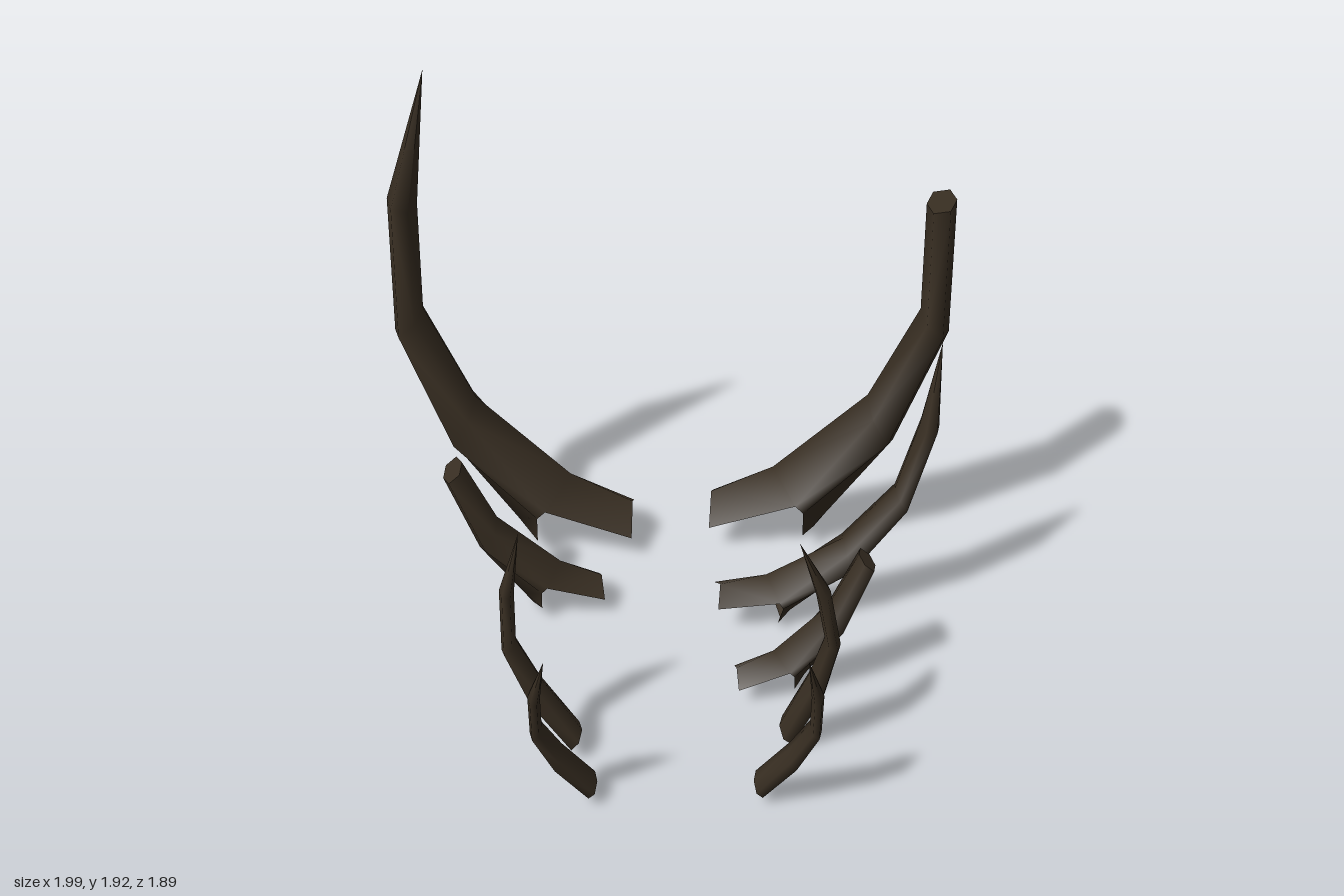
import * as THREE from 'three';

// Cross-sections from bottom to top: outer ridge, inner ridge, half depth,
// and where the side edges sit between the two ridges.
const notch = { o: [0.58, 0.09], i: [0.38, 0.29], d: 0.128, f: [0.45, 0.6] };
const foot = { o: [0.54, 0.03], i: [0.44, 0.15], d: 0.12 };
const lower = { o: [0.82, 0.43], i: [0.72, 0.62], d: 0.11 };
const middle = { o: [1.0, 0.9], i: [0.895, 0.99], d: 0.093 };
const upper = { o: [1.0, 1.43], i: [0.895, 1.41], d: 0.084 };
const tip = { o: [0.85, 1.92], i: [0.85, 1.92], d: 0 };

// Six corners around a section
function ring({ o, i, d, f = [0.22, 0.78] }) {
  const at = (t, z) => [i[0] + (o[0] - i[0]) * t, i[1] + (o[1] - i[1]) * t, z];
  return [at(1, 0), at(f[1], d), at(f[0], d), at(0, 0), at(f[0], -d), at(f[1], -d)];
}

// Split root: a long inner flap and a short outer flap
const splitRoot = [
  [0.54, 0.03, 0], [0.5, 0.07, 0.125], [0.15, 0.09, 0.13],
  [0.15, 0.17, 0], [0.15, 0.09, -0.13], [0.5, 0.07, -0.125],
];

function ribGeometry(side, sections, split, origin) {
  const rows = sections.map(ring);
  if (split) rows.unshift(splitRoot);
  const pos = [];
  const index = [];
  const add = ([x, y, z]) => pos.push((x - origin[0]) * side, y - origin[1], z);
  const tri = (a, b, c) => (side > 0 ? index.push(a, b, c) : index.push(a, c, b));

  rows.forEach((row) => row.forEach(add));
  for (let r = 0; r < rows.length - 1; r++) {
    for (let j = 0; j < 6; j++) {
      if (split && r === 0 && j % 3 === 1) continue; // open sides between the flaps
      const a = r * 6 + j, b = r * 6 + (j + 1) % 6;
      tri(a, a + 6, b);
      tri(b, a + 6, b + 6);
    }
  }

  // Flat end caps
  const cap = (row, up) => {
    const s = pos.length / 3;
    row.forEach(add);
    for (let j = 1; j < 5; j++) up ? tri(s, s + j + 1, s + j) : tri(s, s + j, s + j + 1);
  };
  if (!split) cap(rows[0], false);
  if (sections[sections.length - 1].d > 0) cap(rows[rows.length - 1], true);

  const g = new THREE.BufferGeometry();
  g.setAttribute('position', new THREE.Float32BufferAttribute(pos, 3));
  g.setIndex(index);
  g.computeVertexNormals();
  return g;
}

export function createModel() {
  const model = new THREE.Group();
  model.name = 'ribCage';
  const bone = new THREE.MeshStandardMaterial({ color: 0x382e22, side: THREE.DoubleSide });
  bone.name = 'darkBone';

  const root = [0.15, 0.13];
  const point = [0.85, 1.92];
  const whole = [notch, lower, middle, upper, tip];
  const brokenHigh = [notch, lower, middle, upper];
  const brokenLow = [notch, lower, middle];
  const small = [foot, lower, middle, upper, tip];

  const rib = (name, side, sections, position, scale, rotation) => {
    const split = sections !== small;
    const mesh = new THREE.Mesh(ribGeometry(side, sections, split, split ? root : point), bone);
    mesh.name = name;
    mesh.position.set(...position);
    mesh.scale.setScalar(scale);
    mesh.rotation.set(...rotation);
    model.add(mesh);
  };

  // Large ribs, placed by their roots
  rib('rightRearRib', -1, whole, [-0.15, 0.13, -0.76], 1, [0, -0.03, 0]);
  rib('leftRearBrokenRib', 1, brokenHigh, [0.145, 0.135, -0.82], 1, [0, -0.08, 0]);
  rib('rightMiddleBrokenRib', -1, brokenLow, [-0.26, 0.095, -0.355], 0.65, [0, 0.15, 0]);
  rib('leftMiddleRib', 1, whole, [0.16, 0.13, -0.245], 0.65, [0, 0.07, -0.28]);
  rib('leftFrontBrokenRib', 1, brokenLow, [0.215, 0.085, 0.185], 0.55, [0, 0.09, 0]);

  // Small ribs, placed by their tips
  rib('rightFrontRib', -1, small, [-0.5, 0.905, 0.525], 0.46, [0.03, 0, 0]);
  rib('leftFrontRib', 1, small, [0.395, 0.895, 0.57], 0.455, [0.13, 0, 0.175]);
  for (const side of [1, -1]) {
    rib(side > 0 ? 'leftFirstRib' : 'rightFirstRib', side, small,
      [0.41 * side, 0.71, 0.945], 0.375, [0.3, 0, 0]);
  }
  return model;
}
